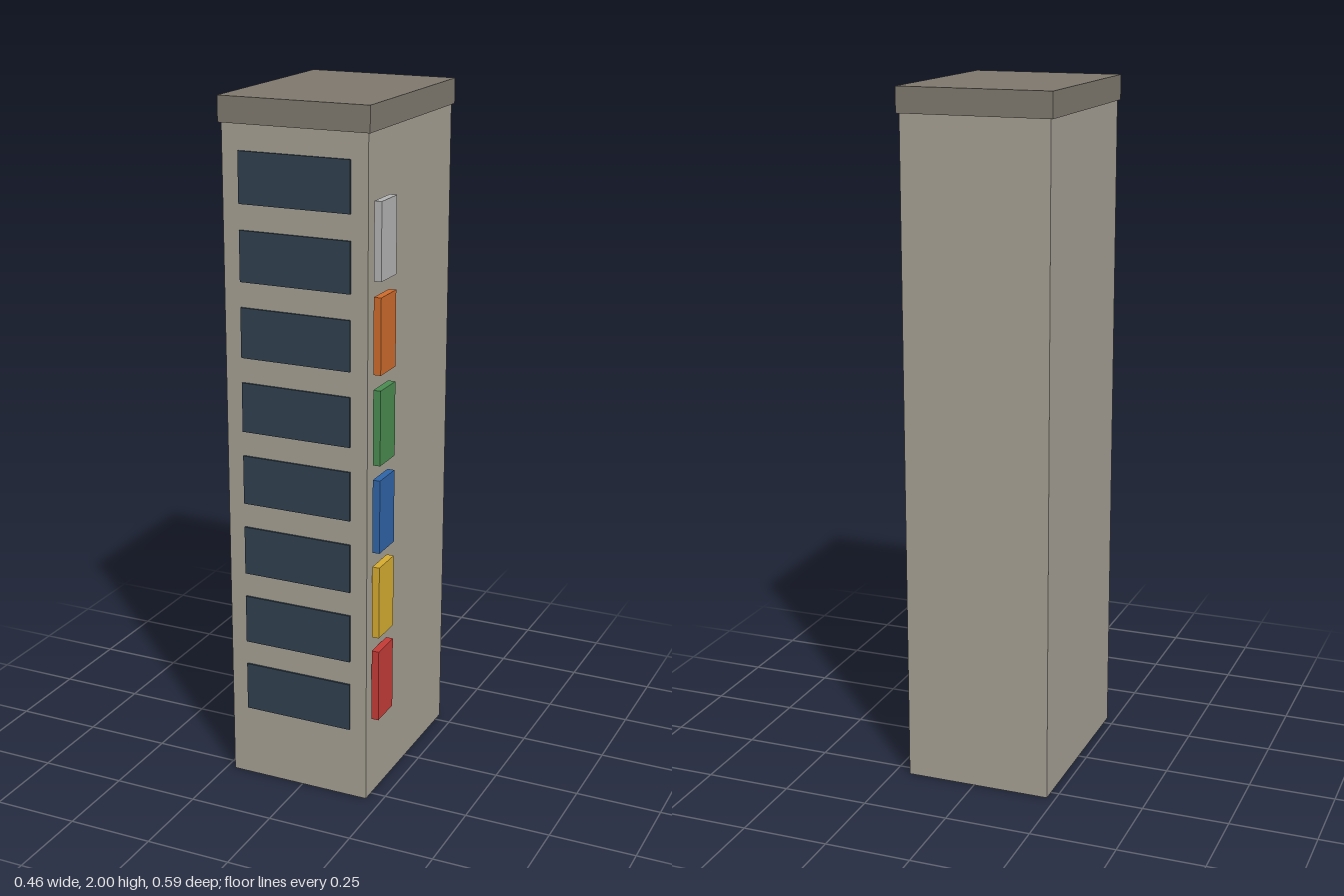
import * as THREE from 'three';

const U = 2 / 28; // building module: the tower is 28 modules tall

export function createModel() {
  const tower = new THREE.Group();
  tower.name = 'tower';
  tower.position.x = -0.15 * U; // centres the tower together with its signs

  const paint = (color) => new THREE.MeshStandardMaterial({ color });

  // Box with size and centre given in modules
  function box(name, size, centre, material) {
    const mesh = new THREE.Mesh(new THREE.BoxGeometry(...size.map((s) => s * U)), material);
    mesh.position.set(...centre).multiplyScalar(U);
    mesh.name = name;
    tower.add(mesh);
  }

  // Main block and overhanging roof slab
  box('body', [6, 27, 8], [0, 13.5, 0], paint(0xa39e92));
  box('roofSlab', [6.2, 1, 8.2], [0, 27.5, 0], paint(0x7d776d));

  // One wide window strip per storey on the front
  const glass = paint(0x2f3e4e);
  for (let i = 0; i < 8; i++) {
    box('window' + (i + 1), [4.6, 2, 0.1], [0, 4 + i * 3, 4.03], glass);
  }

  // Column of coloured sign panels standing just off the left wall
  const signColors = [0xc23b36, 0xd4aa30, 0x2f64a6, 0x4a8a50, 0xcb6a2c, 0xb2b2b2];
  signColors.forEach((color, i) => {
    box('signPanel' + (i + 1), [0.3, 3, 1.4], [3.25, 5 + i * 3.6, 3], paint(color));
  });

  const model = new THREE.Group();
  model.name = 'signTower';
  model.add(tower);
  return model;
}
